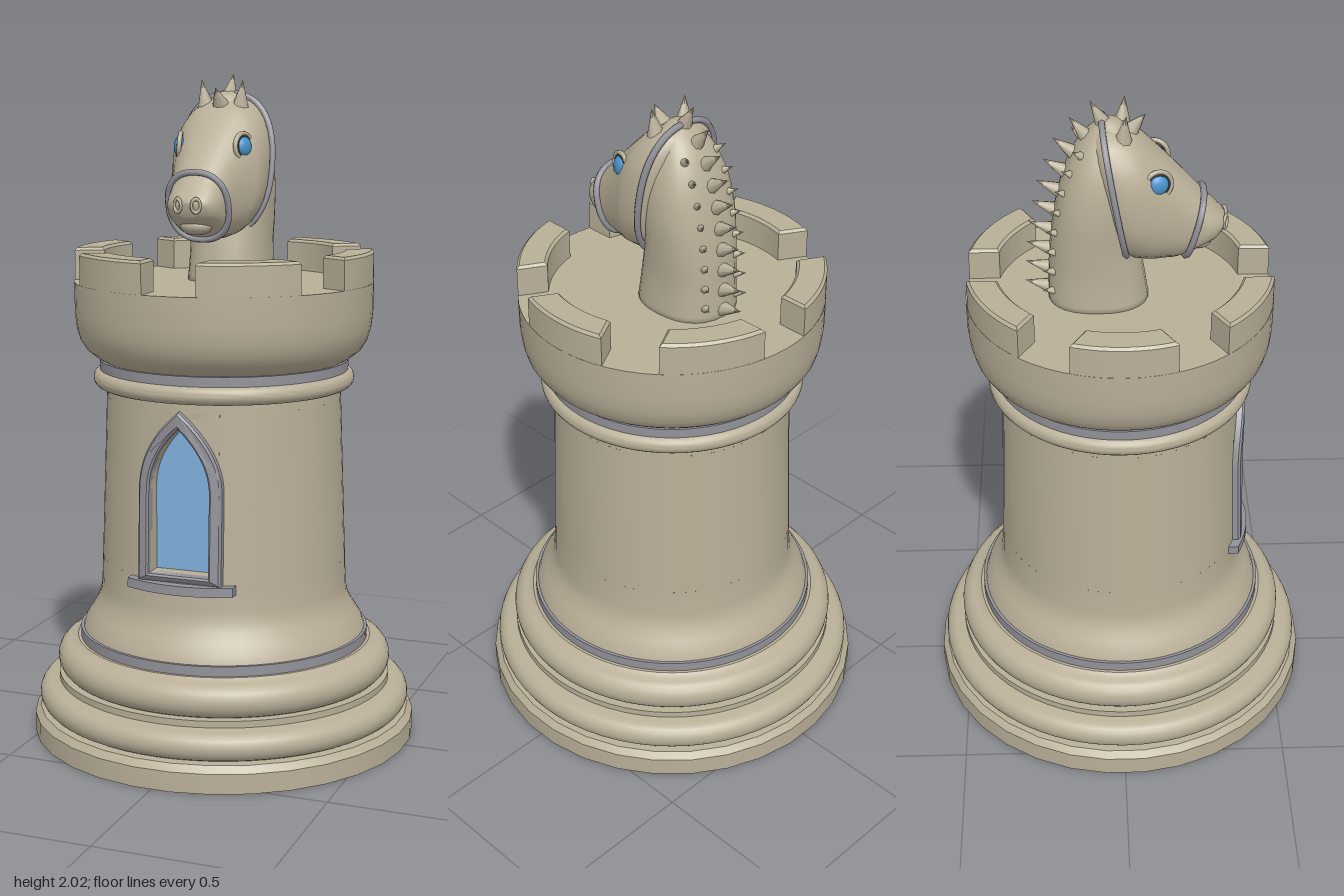
import * as THREE from 'three';
import { toCreasedNormals } from 'three/addons/utils/BufferGeometryUtils.js';

const material = (name, color) => {
  const m = new THREE.MeshStandardMaterial({ color });
  m.name = name;
  return m;
};

export function createModel() {
  const model = new THREE.Group();
  const stone = material('stone', 0xb9af98);
  const trim = material('grey trim', 0x92929a);
  const glass = material('window glass', 0x7fb0dc);
  const eyeBlue = material('eye blue', 0x4a94cc);
  const dark = material('eye rim', 0x3a3936);

  const add = (name, geometry, mat, parent = model) => {
    const mesh = new THREE.Mesh(geometry, mat);
    mesh.name = name;
    parent.add(mesh);
    return mesh;
  };
  const lathe = (name, pts, mat = stone, seg = 64, start = 0, length = Math.PI * 2) =>
    add(name, toCreasedNormals(new THREE.LatheGeometry(
      pts.map(p => new THREE.Vector2(...p)), seg, start, length), 0.6), mat);
  // Half-round moulding between two heights
  const roll = (r, y0, y1, depth) => Array.from({ length: 11 }, (_, i) => {
    const a = -Math.PI / 2 + Math.PI * i / 10;
    return [r - depth + depth * Math.cos(a), (y0 + y1) / 2 + (y1 - y0) / 2 * Math.sin(a)];
  });

  // Stepped base
  lathe('basePlinth', [[0, 0], [0.592, 0], [0.592, 0.06], [0.575, 0.08], [0.5, 0.082]], stone, 32, Math.PI / 32);
  lathe('lowerMoulding', [[0.5, 0.08], ...roll(0.575, 0.08, 0.165, 0.04), [0.515, 0.17], [0.515, 0.19], [0.46, 0.19]]);
  lathe('upperMoulding', [[0.45, 0.185], ...roll(0.517, 0.185, 0.29, 0.05), [0.455, 0.3], [0.42, 0.3]]);
  lathe('baseBand', [[0.4, 0.298], [0.446, 0.298], [0.446, 0.33], [0.4, 0.33]], trim);

  // Tower shaft, open behind the window
  const shaftR = y => 0.379 - (y - 0.45) * 0.036;
  const winBottom = 0.555, winTop = 1.055, winHalf = 0.115;
  lathe('shaftFoot', [[0.437, 0.33], [0.429, 0.355], [0.41, 0.385], [0.393, 0.415],
    [0.383, 0.44], [shaftR(0.47), 0.47], [shaftR(winBottom), winBottom]]);
  lathe('shaftWall', [[shaftR(winBottom), winBottom], [shaftR(winTop), winTop]], stone, 64, 0.3, Math.PI * 2 - 0.6);
  lathe('shaftTop', [[shaftR(winTop), winTop], [shaftR(1.1), 1.1]]);

  // Collar and crown
  lathe('collarRing', [[0.34, 1.083], ...roll(0.397, 1.083, 1.138, 0.027), [0.34, 1.138]]);
  lathe('collarBand', [[0.34, 1.136], [0.378, 1.136], [0.378, 1.166], [0.34, 1.166]], trim);
  lathe('crown', [[0.36, 1.165], [0.37, 1.166], [0.392, 1.18], [0.417, 1.2], [0.436, 1.23],
    [0.446, 1.265], [0.451, 1.31], [0.452, 1.402], [0, 1.402]]);

  // Six merlons with straight-sided gaps
  const edge = r => Math.PI / 6 - Math.asin(0.082 / r);
  const merlonShape = new THREE.Shape();
  merlonShape.absarc(0, 0, 0.451, -edge(0.451), edge(0.451), false);
  merlonShape.absarc(0, 0, 0.362, edge(0.362), -edge(0.362), true);
  const merlonGeo = toCreasedNormals(new THREE.ExtrudeGeometry(merlonShape, {
    depth: 0.11, bevelThickness: 0.008, bevelSize: 0.008, bevelOffset: -0.008, bevelSegments: 1, curveSegments: 14,
  }).rotateX(-Math.PI / 2), 0.5);
  for (let i = 0; i < 6; i++) {
    const merlon = add('merlon', merlonGeo, stone);
    merlon.position.y = 1.38;
    merlon.rotation.y = i * Math.PI / 3;
  }

  // Pointed window: z is measured from the curved wall
  const arch = (path, w, y0, spring, top) => {
    const mid = spring + (top - spring) * 0.55;
    path.moveTo(-w, y0).lineTo(w, y0).lineTo(w, spring);
    path.quadraticCurveTo(w, mid, 0, top).quadraticCurveTo(-w, mid, -w, spring);
    path.closePath();
    return path;
  };
  const opening = () => arch(new THREE.Path(), 0.094, 0.575, 0.82, 1.01);
  const onWall = (g, backZ) => {
    const p = g.attributes.position;
    for (let i = 0; i < p.count; i++) {
      const x = p.getX(i), y = p.getY(i), z = p.getZ(i);
      const wall = Math.sqrt(shaftR(y) ** 2 - x * x);
      p.setZ(i, backZ !== undefined && z < -0.01 ? backZ : wall + z);
    }
    return toCreasedNormals(g, 0.5);
  };
  const windowGroup = new THREE.Group();
  windowGroup.name = 'window';
  model.add(windowGroup);
  const surround = new THREE.Shape().moveTo(-winHalf, winBottom);
  surround.lineTo(winHalf, winBottom);
  for (let i = 0; i <= 8; i++) surround.lineTo(winHalf - winHalf * i / 4, winTop);
  surround.holes.push(opening());
  add('windowJamb', onWall(new THREE.ExtrudeGeometry(surround, { depth: 0.06, bevelEnabled: false })
    .translate(0, 0, -0.06), 0.3), stone, windowGroup);
  const frame = arch(new THREE.Shape(), 0.13, 0.55, 0.82, 1.06);
  frame.holes.push(opening());
  add('windowFrame', onWall(new THREE.ExtrudeGeometry(frame, {
    depth: 0.03, bevelThickness: 0.006, bevelSize: 0.006, bevelOffset: -0.006, bevelSegments: 1,
  }).translate(0, 0, -0.013)), trim, windowGroup);
  add('windowPane', new THREE.ShapeGeometry(arch(new THREE.Shape(), 0.105, 0.56, 0.82, 1.03)), glass, windowGroup)
    .position.z = 0.312;
  add('windowSill', onWall(new THREE.BoxGeometry(0.33, 0.028, 0.06, 10, 1, 1).translate(0, 0.538, 0)), trim, windowGroup);

  // Lofted body: each section is [zA, yA, zB, yB, halfWidth]
  const loft = sections => {
    const a = new THREE.CatmullRomCurve3(sections.map(s => new THREE.Vector3(s[4], s[1], s[0])));
    const b = new THREE.CatmullRomCurve3(sections.map(s => new THREE.Vector3(0, s[3], s[2])));
    const sides = 28;
    const ring = (u, grow = 0) => {
      const p = a.getPoint(u), q = b.getPoint(u), w = p.x;
      p.x = 0;
      const mid = p.clone().add(q).multiplyScalar(0.5), half = p.clone().sub(mid);
      half.setLength(half.length() + grow);
      return Array.from({ length: sides }, (_, i) => {
        const t = i / sides * Math.PI * 2, c = Math.cos(t), s = Math.sin(t);
        const point = mid.clone().addScaledVector(half, Math.sign(s) * Math.abs(s) ** 0.85);
        point.x = (w + grow) * Math.sign(c) * Math.abs(c) ** 0.85;
        return point;
      });
    };
    const n = (sections.length - 1) * 4, pts = [], index = [];
    for (let j = 0; j <= n; j++) pts.push(...ring(j / n));
    const centre = u => a.getPoint(u).setX(0).add(b.getPoint(u)).multiplyScalar(0.5);
    const first = pts.push(centre(0)) - 1, last = pts.push(centre(1)) - 1;
    for (let i = 0; i < sides; i++) {
      const k = (i + 1) % sides, e = n * sides;
      for (let j = 0; j < n; j++) {
        const o = j * sides, m = o + sides;
        index.push(o + i, o + k, m + i, o + k, m + k, m + i);
      }
      index.push(k, i, first, e + i, e + k, last);
    }
    const geometry = new THREE.BufferGeometry().setFromPoints(pts);
    geometry.setIndex(index);
    geometry.computeVertexNormals();
    return { geometry, ring };
  };

  const horse = new THREE.Group();
  horse.name = 'horse';
  model.add(horse);
  const neckSections = [
    [-0.21, 1.39, 0.085, 1.39, 0.125], [-0.207, 1.5, 0.068, 1.5, 0.12], [-0.2, 1.6, 0.05, 1.6, 0.125],
    [-0.185, 1.7, 0.05, 1.7, 0.13], [-0.16, 1.8, 0.05, 1.8, 0.12], [-0.125, 1.88, 0.04, 1.88, 0.092],
    [-0.085, 1.93, 0.02, 1.93, 0.06], [-0.04, 1.965, 0.0, 1.955, 0.02]];
  add('neck', loft(neckSections).geometry, stone, horse);
  const head = loft([
    [-0.085, 1.92, -0.01, 1.6, 0.1], [-0.05, 1.95, 0.02, 1.55, 0.14], [0.03, 1.93, 0.085, 1.535, 0.142],
    [0.1, 1.87, 0.125, 1.535, 0.122], [0.17, 1.8, 0.155, 1.535, 0.102], [0.235, 1.73, 0.185, 1.545, 0.087],
    [0.272, 1.69, 0.235, 1.575, 0.078], [0.296, 1.665, 0.265, 1.592, 0.06], [0.302, 1.65, 0.29, 1.61, 0.03]]);
  add('head', head.geometry, stone, horse);

  // Bridle straps follow the head
  for (const [name, u] of [['cheekStrap', 1 / 8], ['noseband', 5 / 8]]) {
    const loop = new THREE.CatmullRomCurve3(head.ring(u, 0.006), true);
    add(name, new THREE.TubeGeometry(loop, 64, 0.01, 6, true), trim, horse);
  }

  const up = new THREE.Vector3(0, 1, 0);
  const spike = (name, base, dir, radius, length) => {
    const cone = add(name, new THREE.ConeGeometry(radius, length, 8).translate(0, length / 2, 0), stone, horse);
    cone.position.copy(base);
    cone.quaternion.setFromUnitVectors(up, dir.clone().normalize());
  };
  // Eyes, ears and nostrils
  for (const side of [-1, 1]) {
    const eye = new THREE.Group();
    eye.name = 'eye';
    eye.position.set(side * 0.1, 1.805, 0.103);
    eye.rotation.set(-0.25, side * 1.25, 0);
    horse.add(eye);
    add('eyeball', new THREE.SphereGeometry(0.03, 20, 14), eyeBlue, eye).scale.z = 0.6;
    add('eyeRim', new THREE.TorusGeometry(0.031, 0.006, 8, 24), dark, eye);
    add('eyelid', new THREE.TorusGeometry(0.039, 0.007, 8, 24), stone, eye);
    spike('ear', new THREE.Vector3(side * 0.052, 1.9, 0.005), new THREE.Vector3(side * 0.013, 0.1, 0.01), 0.032, 0.1);
    const nostril = add('nostril', new THREE.TorusGeometry(0.016, 0.005, 8, 18), stone, horse);
    nostril.position.set(side * 0.028, 1.645, 0.3);
    nostril.rotation.y = side * 0.4;
    nostril.scale.set(0.8, 1.2, 1);
  }
  const lip = add('lowerLip', new THREE.SphereGeometry(0.045, 18, 12), stone, horse);
  lip.position.set(0, 1.582, 0.225);
  lip.scale.set(1.1, 0.6, 0.9);

  // Mane: a tall middle row and small side rows
  spike('forelock', new THREE.Vector3(0, 1.925, 0.03), new THREE.Vector3(0, 0.6, 0.5), 0.025, 0.065);
  const crest = new THREE.CatmullRomCurve3(neckSections.map(s => new THREE.Vector3(0, s[1], s[0])));
  for (let i = 0; i < 10; i++) {
    const u = 0.06 + i * 0.102, base = crest.getPointAt(u), t = crest.getTangentAt(u);
    const out = new THREE.Vector3(0, -t.z, -t.y).multiply(new THREE.Vector3(1, 1, 1));
    out.y = -t.z * Math.sign(t.y) * -1 + 0.25;
    if (out.y < 0) out.y = -out.y;
    const inner = base.clone().addScaledVector(out, -0.015);
    spike('maneSpike', inner, out, 0.026, 0.085);
    if (i > 7) continue;
    for (const side of [-1, 1]) {
      const start = inner.clone().addScaledVector(t, 0.02);
      start.x = side * 0.055;
      start.z += 0.012;
      spike('sideManeSpike', start, out.clone().setX(side * 0.5), 0.017, 0.05);
    }
  }
  return model;
}
